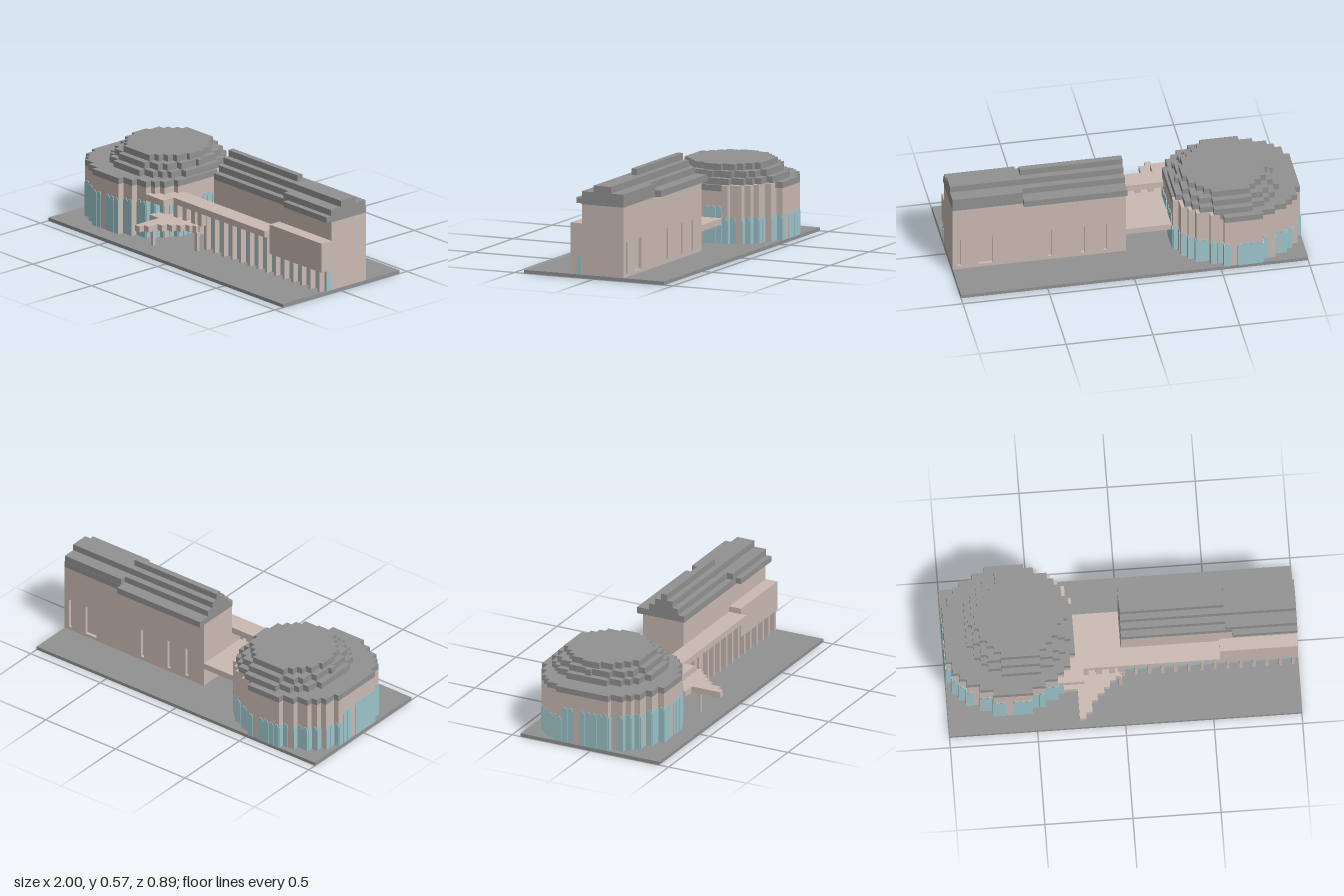
import * as THREE from 'three';

const mat = (name, color) => Object.assign(new THREE.MeshStandardMaterial({ color }), { name });

export function createModel() {
  const root = new THREE.Group();
  root.name = 'building';
  const grey = mat('roof grey', 0x919191);
  const stone = mat('pale stone', 0xcabab3);
  const glass = mat('teal glass', 0x9dc5ca);
  const U = 0.0371; // size of one step

  const add = (name, geo, material) => {
    const m = new THREE.Mesh(geo, material);
    m.name = name;
    root.add(m);
    return m;
  };
  // box from its limits
  const box = (name, material, x0, x1, y0, y1, z0, z1) =>
    add(name, new THREE.BoxGeometry(x1 - x0, y1 - y0, z1 - z0), material)
      .position.set((x0 + x1) / 2, (y0 + y1) / 2, (z0 + z1) / 2);
  // plan outline [x, z] raised from y0 to y1
  const slab = (name, material, pts, y0, y1) => {
    const shape = new THREE.Shape(pts.map(([x, z]) => new THREE.Vector2(x, -z)));
    const geo = new THREE.ExtrudeGeometry(shape, { depth: y1 - y0, bevelEnabled: false });
    add(name, geo.rotateX(-Math.PI / 2), material).position.y = y0;
  };
  // stepped disc as rows of [z0, z1, xLeft, xRight]
  const discRows = (cx, cz, r, n, maxHalf) => Array.from({ length: n }, (_, i) => {
    const dz = (i - (n - 1) / 2) * U;
    const half = Math.min(maxHalf, Math.round(Math.sqrt(Math.max(0, r * r - dz * dz)) / U) * U);
    return [cz + dz - U / 2, cz + dz + U / 2, cx - half, cx + half];
  });
  const outline = (rows) => {
    const all = [];
    rows.forEach(([a, b, , x]) => all.push([x, a], [x, b]));
    [...rows].reverse().forEach(([a, b, x]) => all.push([x, b], [x, a]));
    return all.filter((p, i) => {
      const q = all[(i + all.length - 1) % all.length];
      return Math.hypot(p[0] - q[0], p[1] - q[1]) > 1e-4;
    });
  };
  // thin glass pane with a clipped arch top
  const pane = (name, x, z, w, h, angle) => {
    const s = new THREE.Shape();
    s.moveTo(-w / 2, 0);
    s.lineTo(w / 2, 0);
    s.lineTo(w / 2, h - 0.018);
    s.lineTo(w / 4, h);
    s.lineTo(-w / 4, h);
    s.lineTo(-w / 2, h - 0.018);
    const m = add(name, new THREE.ExtrudeGeometry(s, { depth: 0.004, bevelEnabled: false }), glass);
    m.position.set(x, 0.02, z);
    m.rotation.y = angle;
  };

  box('base', grey, -1, 1, 0, 0.02, -0.445, 0.44);

  // round hall
  const cx = -0.63, cz = -0.055;
  const rows = discRows(cx, cz, 0.39, 21, 10 * U - 0.005);
  const plan = outline(rows);
  slab('drumWall', stone, plan, 0.02, 0.32);
  const isCut = (r) => r[0] > -0.42 && r[1] < -0.18;
  slab('drumRim', grey, outline(rows.map((r) => (isCut(r) ? [r[0], r[1], r[2], -0.5] : r))), 0.32, 0.355);
  slab('drumParapet', stone, outline(rows.filter(isCut).map((r) => [r[0], r[1], -0.5, r[3]])), 0.32, 0.354);
  [[0.315, 17], [0.28, 15], [0.245, 13]].forEach(([r, n], i) =>
    slab('drumRoofTier', grey, outline(discRows(-0.577, -0.092, r, n, r)), 0.355 + i * 0.0367, 0.3917 + i * 0.0367));

  // drum glazing, one pane per step
  let count = 0;
  plan.forEach((a, i) => {
    const b = plan[(i + 1) % plan.length];
    const len = Math.hypot(b[0] - a[0], b[1] - a[1]);
    const n = Math.max(1, Math.round(len / U));
    const alongX = Math.abs(b[0] - a[0]) > Math.abs(b[1] - a[1]);
    for (let k = 0; k < n; k++) {
      const t = (k + 0.5) / n;
      const x = a[0] + (b[0] - a[0]) * t, z = a[1] + (b[1] - a[1]) * t;
      const nx = alongX ? 0 : Math.sign(x - cx), nz = alongX ? Math.sign(z - cz) : 0;
      if (count++ % 7 === 3 || (nx > 0 && z > 0.26)) continue;
      pane('drumWindow', x, z, len / n - 0.002, z > -0.19 ? 0.215 : 0.15, Math.atan2(nx, nz));
    }
  });

  // long hall
  box('hallWall', stone, 0, 1, 0.02, 0.425, -0.17, 0.072);
  const back = new THREE.Shape();
  back.moveTo(0, 0.02);
  back.lineTo(1, 0.02);
  back.lineTo(1, 0.425);
  back.lineTo(0, 0.425);
  [[0.12, 0.02], [0.25, 0.02], [0.44, 0.02], [0.81, 0.08], [0.96, 0.02]].forEach(([x, w]) => {
    const hole = new THREE.Path();
    hole.moveTo(x - w / 2, 0.04);
    hole.lineTo(x - w / 2, 0.22);
    hole.lineTo(x + w / 2, 0.22);
    hole.lineTo(x + w / 2, 0.04);
    back.holes.push(hole);
  });
  add('hallBackWall', new THREE.ExtrudeGeometry(back, { depth: 0.018, bevelEnabled: false }), stone)
    .position.z = -0.188;

  // stepped roof of the long hall
  box('eave', grey, 0, 0.595, 0.425, 0.463, -0.225, 0.075);
  box('eave', grey, 0.595, 1, 0.425, 0.463, -0.188, 0.075);
  box('frontEave', grey, 0.63, 1, 0.43, 0.463, 0.075, 0.108);
  box('roofStep', grey, 0, 0.595, 0.463, 0.5, -0.15, 0.037);
  box('roofStep', grey, 0.595, 1, 0.463, 0.5, -0.187, 0.074);
  box('roofStep', grey, 0, 1, 0.5, 0.538, -0.11, 0);
  box('ridge', grey, 0, 0.59, 0.538, 0.575, -0.072, -0.036);

  // front wing with piers and windows
  box('wingCore', stone, 0, 0.6, 0.02, 0.245, 0.07, 0.108);
  box('wingUpper', stone, 0.555, 1, 0.14, 0.315, 0.07, 0.147);
  box('wingLower', stone, 0.6, 1, 0.02, 0.14, 0.07, 0.108);
  for (let i = 0; i < 8; i++) pane('tallWindow', 0.037 + i * 0.0742, 0.108, 0.06, 0.21, 0);
  for (let i = 0; i < 5; i++) pane('lowWindow', 0.633 + i * 0.0742, 0.108, 0.055, 0.105, 0);
  for (let i = 0; i < 14; i++) {
    const x = i * 0.0742;
    box('pier', stone, x, x + 0.018, 0.02, i < 8 ? 0.245 : 0.14, 0.108, 0.147);
  }
  pane('endWindow', 1 - 0.003, 0.0915, 0.034, 0.11, Math.PI / 2);

  // walkway roof, bridge deck and entrance canopy
  slab('walkwayRoof', stone, [[-0.375, 0.07], [0.555, 0.07], [0.555, 0.182], [-0.222, 0.182],
    [-0.222, 0.26], [-0.375, 0.26]], 0.245, 0.282);
  box('bridgeDeck', stone, -0.27, 0, 0.132, 0.168, -0.188, 0.182);
  box('deckBeam', stone, -0.26, 0, 0.115, 0.132, 0.147, 0.182);
  slab('canopy', stone, [[-0.27, 0.182], [-0.01, 0.182], [-0.01, 0.2], [-0.04, 0.2], [-0.04, 0.222], [-0.075, 0.222],
    [-0.075, 0.26], [-0.11, 0.26], [-0.11, 0.295], [-0.15, 0.295], [-0.15, 0.335], [-0.185, 0.335],
    [-0.185, 0.405], [-0.222, 0.405], [-0.222, 0.44], [-0.26, 0.44], [-0.26, 0.26], [-0.34, 0.26],
    [-0.34, 0.182]], 0.132, 0.168);
  [-0.225, -0.15, -0.075, -0.02].forEach((x) => box('upperPost', stone, x, x + 0.034, 0.168, 0.245, 0.147, 0.18));
  box('canopyLeg', stone, -0.262, -0.245, 0.02, 0.132, 0.3, 0.318);
  box('canopyLeg', stone, -0.022, -0.002, 0.02, 0.132, 0.182, 0.2);
  return root;
}
